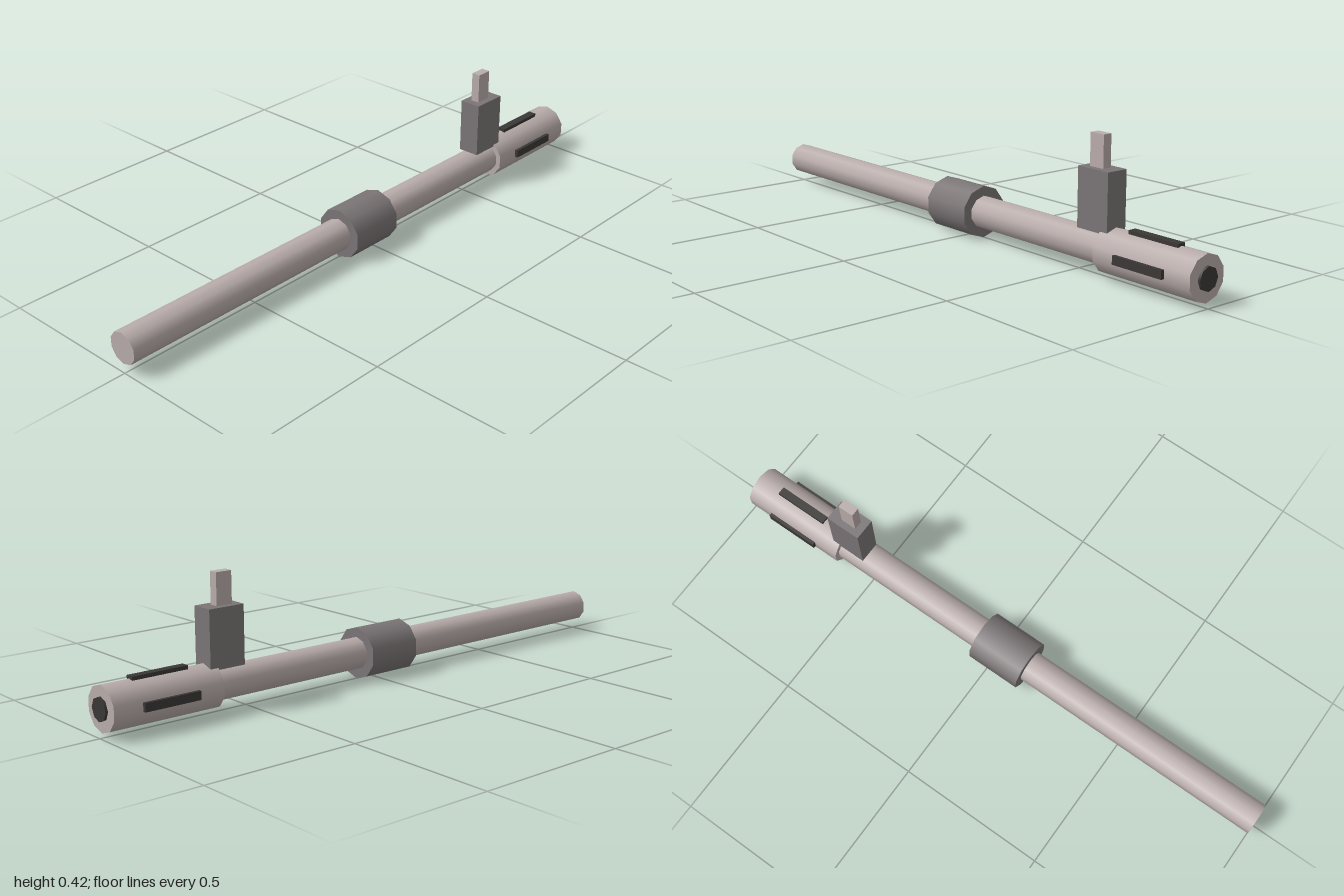
import * as THREE from 'three';

const AXIS_Y = 0.084; // height of the tube axis

const material = (name, color) => {
  const m = new THREE.MeshStandardMaterial({ color });
  m.name = name;
  return m;
};

export function createModel() {
  const group = new THREE.Group();
  group.name = 'barrelAssembly';
  const steel = material('paleSteel', 0xb9adab);
  const grey = material('darkGrey', 0x7b7576);
  const black = material('nearBlack', 0x3b3837);

  const add = (name, geometry, mat, x, y, z) => {
    const mesh = new THREE.Mesh(geometry, mat);
    mesh.name = name;
    mesh.position.set(x, y, z);
    group.add(mesh);
  };
  // Cylinder along z with a corner pointing up
  const tube = (name, radius, zFront, zBack, mat, sides = 10) => {
    const g = new THREE.CylinderGeometry(radius, radius, zFront - zBack, sides);
    g.rotateX(-Math.PI / 2);
    add(name, g, mat, 0, AXIS_Y, (zFront + zBack) / 2);
  };
  const box = (name, w, h, d, mat, x, y, z) =>
    add(name, new THREE.BoxGeometry(w, h, d), mat, x, y, z);

  // Barrel, collar and muzzle
  tube('barrel', 0.0523, 1, -0.65, steel);
  tube('collar', 0.084, 0.127, -0.059, grey);
  tube('muzzle', 0.0705, -0.623, -0.992, steel);
  tube('bore', 0.0365, -0.97, -1, black, 8);

  // Front sight: block and post
  box('sightBlock', 0.074, 0.184, 0.122, grey, 0, 0.228, -0.588);
  box('sightPost', 0.03, 0.1, 0.054, steel, 0, 0.37, -0.58);

  // Muzzle slots on both sides and on top
  for (const side of [-1, 1]) {
    box(side > 0 ? 'leftSlot' : 'rightSlot', 0.02, 0.027, 0.187, black, side * 0.068, AXIS_Y + 0.002, -0.805);
  }
  box('topSlot', 0.027, 0.02, 0.187, black, 0, AXIS_Y + 0.068, -0.805);

  return group;
}
